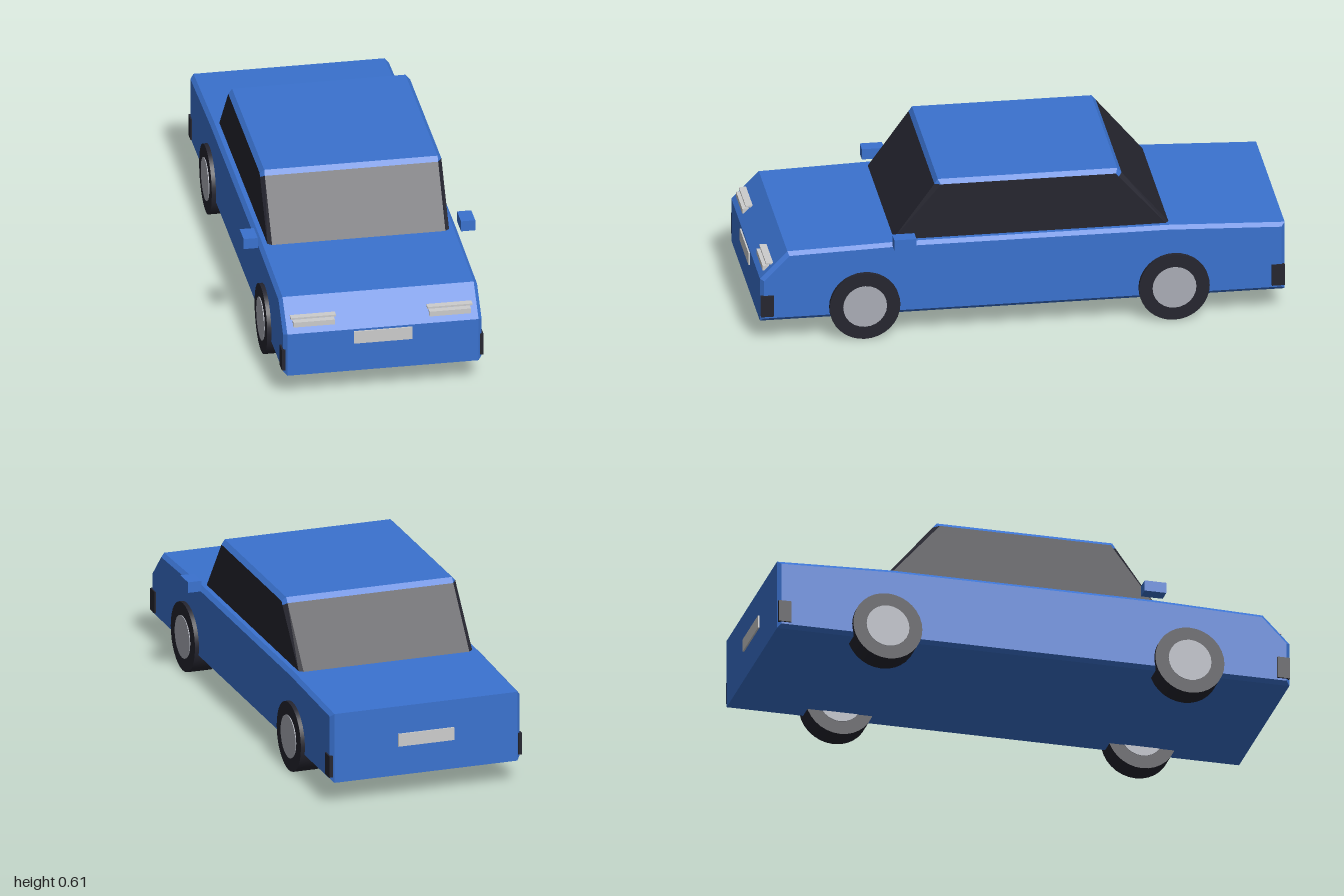
import * as THREE from 'three';

const mat = (name, color) => Object.assign(new THREE.MeshStandardMaterial({ color }), { name });

// Side profile of [z, y] points, extruded across x with a small chamfer
function chamferedProfile(points, halfWidth, chamfer) {
  const shape = new THREE.Shape(points.map(([z, y]) => new THREE.Vector2(z, y)));
  const depth = 2 * (halfWidth - chamfer);
  const geo = new THREE.ExtrudeGeometry(shape, {
    depth, bevelEnabled: true, bevelSegments: 1,
    bevelSize: chamfer, bevelThickness: chamfer, bevelOffset: -chamfer,
  });
  return geo.translate(0, 0, -depth / 2).rotateY(-Math.PI / 2);
}

export function createModel() {
  const paint = mat('bluePaint', 0x3a72cf);
  const dark = mat('darkGlassAndRubber', 0x25252f);
  const metal = mat('hubMetal', 0xaaadb6);
  const pale = mat('paleLens', 0xcdcdcd);

  const car = new THREE.Group();
  car.name = 'car';

  const add = (name, geo, material) => {
    const mesh = new THREE.Mesh(geo, material);
    mesh.name = name;
    car.add(mesh);
    return mesh;
  };
  // Box given by its extents on each axis
  const box = (name, [x0, x1], [y0, y1], [z0, z1], material) => {
    const mesh = add(name, new THREE.BoxGeometry(x1 - x0, y1 - y0, z1 - z0), material);
    mesh.position.set((x0 + x1) / 2, (y0 + y1) / 2, (z0 + z1) / 2);
  };

  // Lower body with sloped nose and gently falling boot
  add('body', chamferedProfile([
    [-0.994, 0.088], [0.994, 0.088], [0.994, 0.261], [0.89, 0.367],
    [0.46, 0.379], [-0.55, 0.379], [-0.994, 0.362],
  ], 0.378, 0.014), paint);

  // Cabin: dark glass, with the roof and its edge band painted
  const cabin = chamferedProfile([
    [-0.57, 0.365], [0.492, 0.365], [0.328, 0.592], [0.315, 0.611],
    [-0.365, 0.611], [-0.381, 0.592],
  ], 0.346, 0.016);
  const caps = cabin.groups[0].count;
  const pos = cabin.attributes.position;
  cabin.clearGroups();
  cabin.addGroup(0, caps, 0);
  for (let i = caps; i < pos.count; i += 3) {
    const y = (pos.getY(i) + pos.getY(i + 1) + pos.getY(i + 2)) / 3;
    cabin.addGroup(i, 3, y > 0.592 ? 1 : 0);
  }
  add('cabin', cabin, [dark, paint]);

  // Wheels, with hubs showing on both faces
  for (const [end, z] of [['front', 0.6], ['rear', -0.572]]) {
    for (const s of [1, -1]) {
      const side = s > 0 ? 'Left' : 'Right';
      const tyre = add(`${end}${side}Tyre`,
        new THREE.CylinderGeometry(0.134, 0.134, 0.094, 32).rotateZ(Math.PI / 2), dark);
      tyre.position.set(s * 0.347, 0.134, z);
      const hub = add(`${end}${side}Hub`,
        new THREE.CylinderGeometry(0.083, 0.083, 0.1, 24).rotateZ(Math.PI / 2), metal);
      hub.position.set(s * 0.347, 0.134, z);
    }
  }

  // Mirrored details
  for (const s of [1, -1]) {
    const side = s > 0 ? 'left' : 'right';
    const span = (a, b) => (s > 0 ? [a, b] : [-b, -a]);
    box(`${side}Mirror`, span(0.387, 0.441), [0.378, 0.42], [0.412, 0.496], paint);
    box(`${side}Headlight`, span(0.18, 0.338), [0.281, 0.301], [0.94, 0.98], pale);
    box(`${side}HeadlightStrip`, span(0.174, 0.346), [0.308, 0.315], [0.93, 0.968], pale);
    box(`${side}FrontBumperEnd`, span(0.37, 0.384), [0.11, 0.195], [0.943, 0.992], dark);
    box(`${side}RearBumperEnd`, span(0.37, 0.384), [0.11, 0.195], [-0.992, -0.943], dark);
  }

  // Blank plates
  box('frontPlate', [-0.111, 0.111], [0.203, 0.253], [0.991, 1], pale);
  box('rearPlate', [-0.111, 0.111], [0.203, 0.253], [-1, -0.991], pale);

  return car;
}
